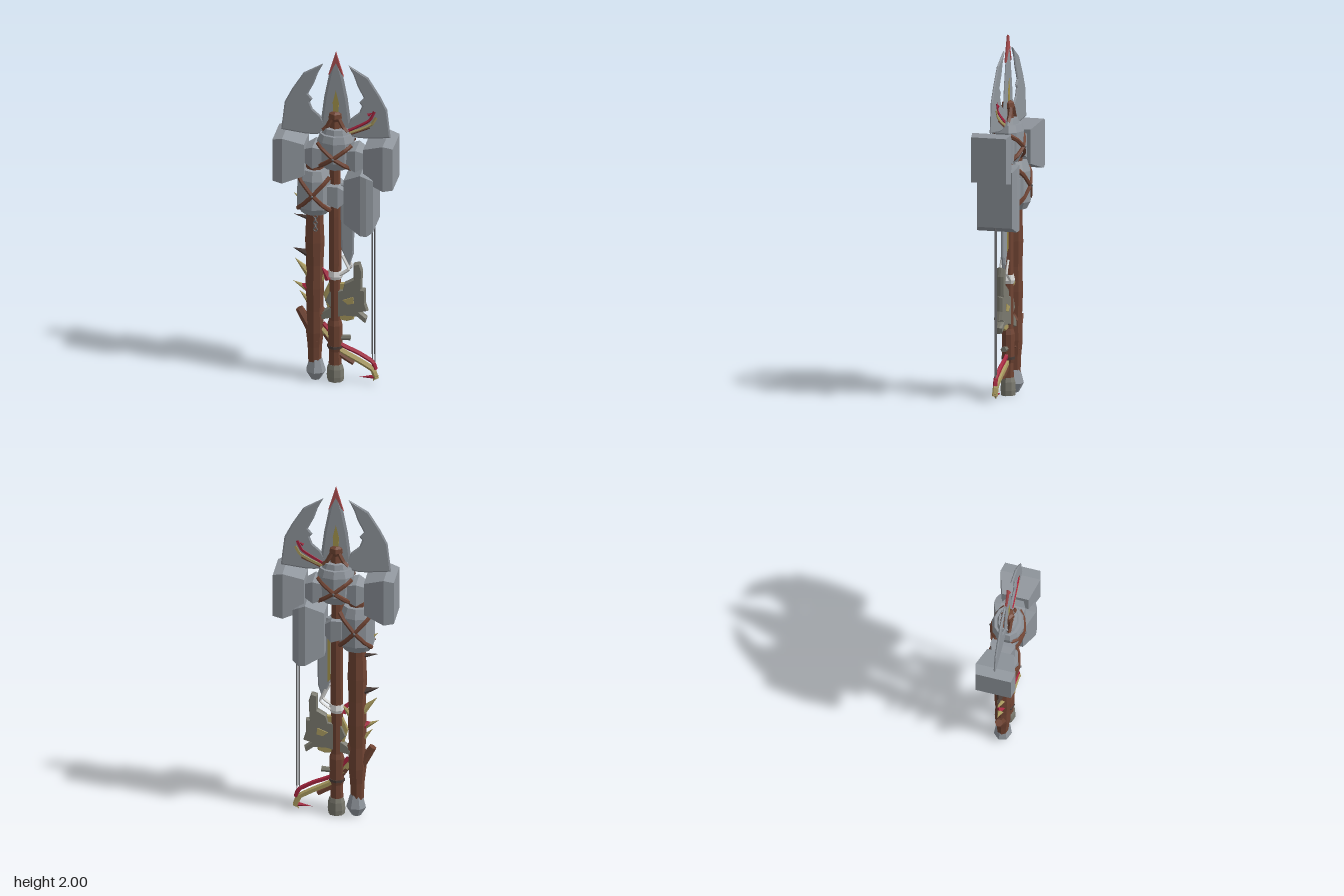
import * as THREE from 'three';
import { ConvexGeometry } from 'three/addons/geometries/ConvexGeometry.js';

const V = (x, y, z = 0) => new THREE.Vector3(x, y, z);
const mat = (name, color) => new THREE.MeshStandardMaterial({ name, color, flatShading: true, side: THREE.DoubleSide });

export function createModel() {
  const root = new THREE.Group();
  const steel = mat('steel', 0x90969d), brown = mat('brown wood', 0x704433), olive = mat('olive metal', 0x7a796e),
    tan = mat('tan bone', 0xab9c60), red = mat('red', 0xa8253f), tipRed = mat('tip red', 0xb05052),
    white = mat('white cloth', 0xd6d6d4), dark = mat('dark horn', 0x4a3c37), gold = mat('gold', 0xa3934c),
    cord = mat('cord grey', 0x666668);

  const add = (name, geo, m) => {
    const mesh = new THREE.Mesh(geo, m);
    mesh.name = name;
    root.add(mesh);
    return mesh;
  };
  // Flat plate from an outline, bevelled inward to a thin edge
  const plate = (name, pts, t, bevel, m, z = 0) => {
    const shape = new THREE.Shape(pts.map(p => new THREE.Vector2(p[0], p[1])));
    const depth = t * 0.3, bt = t * 0.35;
    const g = new THREE.ExtrudeGeometry(shape, {
      depth, bevelEnabled: true, bevelThickness: bt, bevelSize: bevel, bevelOffset: -bevel, bevelSegments: 1, steps: 1,
    });
    g.translate(0, 0, z - depth / 2);
    return add(name, g, m);
  };
  // Convex block from rectangular sections along x: [x, yLow, yHigh, halfDepth]
  const head = (name, secs, m) => add(name, new ConvexGeometry(
    secs.flatMap(([x, a, b, d]) => [V(x, a, d), V(x, a, -d), V(x, b, d), V(x, b, -d)])), m);
  // Faceted stone-like block from scaled ten-sided rings: [y, scale]
  const block = (name, cx, hx, hz, rings, m) => {
    const plan = [[0, 1], [0.65, 0.8], [1, 0.4], [1, -0.4], [0.65, -0.8], [0, -1], [-0.65, -0.8], [-1, -0.4], [-1, 0.4], [-0.65, 0.8]];
    return add(name, new ConvexGeometry(rings.flatMap(([y, s]) => plan.map(p => V(cx + p[0] * hx * s, y, p[1] * hz * s)))), m);
  };
  // Turned shaft: profile [radius, y]
  const shaft = (name, cx, profile, m, sides = 8) => {
    const pts = profile.map(p => new THREE.Vector2(p[0], p[1]));
    pts.unshift(new THREE.Vector2(0, profile[0][1]));
    pts.push(new THREE.Vector2(0, profile.at(-1)[1]));
    const mesh = add(name, new THREE.LatheGeometry(pts, sides), m);
    mesh.position.x = cx;
    mesh.scale.z = 0.9;
    return mesh;
  };
  const tube = (name, pts, r, m, sides = 5) => add(name,
    new THREE.TubeGeometry(new THREE.CatmullRomCurve3(pts.map(p => V(...p)), false, 'catmullrom', 0.2), pts.length * 4, r, sides), m);
  // Tapered cone from base to point
  const spike = (name, a, b, r, m, r2 = 0) => {
    const from = V(...a), to = V(...b), dir = to.clone().sub(from);
    const mesh = add(name, new THREE.CylinderGeometry(r2, r, dir.length(), 6), m);
    mesh.position.copy(from).lerp(to, 0.5);
    mesh.quaternion.setFromUnitVectors(V(0, 1), dir.normalize());
    return mesh;
  };

  // Spear blade, red tip and gold inlay
  plate('spearBlade', [[0, 1.97], [-0.04, 1.85], [-0.065, 1.72], [-0.085, 1.56], [-0.05, 1.48],
    [0.05, 1.48], [0.085, 1.56], [0.065, 1.72], [0.04, 1.85]], 0.012, 0.014, steel);
  plate('spearTip', [[0, 2], [-0.044, 1.85], [-0.03, 1.865], [0, 1.925], [0.03, 1.865], [0.044, 1.85]], 0.014, 0.004, tipRed);
  plate('bladeInlay', [[0, 1.765], [-0.018, 1.69], [-0.016, 1.62], [0.016, 1.62], [0.018, 1.69]], 0.014, 0.001, gold);

  for (const s of [-1, 1]) {
    // Crescent blades on both sides
    plate('crescentBlade', [[0.07, 1.92], [0.18, 1.855], [0.245, 1.75], [0.285, 1.67], [0.305, 1.5], [0.17, 1.485], [0.12, 1.485],
      [0.05, 1.5], [0.05, 1.54], [0.085, 1.6], [0.13, 1.64], [0.145, 1.68], [0.13, 1.7], [0.155, 1.73], [0.12, 1.8], [0.1, 1.86]]
      .map(([x, y]) => [x * s, y]), 0.012, 0.008, steel);
    // Hammer heads and the collars carrying them
    head('hammerHead', [[s * 0.335, 1.23, 1.48, 0.1], [s * 0.28, 1.222, 1.495, 0.112], [s * 0.165, 1.26, 1.45, 0.075]], steel);
    head('hammerCollar', [[s * 0.06, 1.33, 1.42, 0.06], [s * 0.12, 1.305, 1.435, 0.068], [s * 0.17, 1.33, 1.41, 0.045]], steel);
  }

  // Central and lower-left faceted heads, lower-right maul
  block('upperBlock', 0, 0.098, 0.09, [[1.3, 0.65], [1.35, 0.95], [1.47, 1], [1.51, 0.86]], steel);
  block('upperBlockCap', 0, 0.082, 0.065, [[1.49, 1], [1.54, 0.8]], steel);
  block('lowerBlock', -0.118, 0.093, 0.09, [[1.02, 0.75], [1.06, 1], [1.23, 0.97], [1.285, 0.75]], steel);
  head('lowerBlockCollar', [[-0.04, 1.09, 1.2, 0.06], [0.02, 1.07, 1.2, 0.06], [0.055, 1.1, 1.17, 0.04]], steel);
  head('maulHead', [[0.055, 0.99, 1.25, 0.07], [0.155, 0.945, 1.31, 0.118], [0.19, 0.94, 1.295, 0.115], [0.225, 0.965, 1.275, 0.1]], steel);

  // Crossed straps over both faceted heads, front and back
  for (const [cx, cy, hx, hy] of [[0, 1.385, 0.093, 0.07], [-0.115, 1.15, 0.088, 0.1]])
    for (const z of [-1, 1]) {
      for (const s of [-1, 1])
        tube('crossStrap', [[cx - hx, cy - s * hy, z * 0.042], [cx - hx * 0.65, cy - s * hy * 0.65, z * 0.07], [cx, cy, z * 0.087],
          [cx + hx * 0.65, cy + s * hy * 0.65, z * 0.07], [cx + hx, cy + s * hy, z * 0.042]], 0.013, brown, 6);
      const stud = add('strapStud', new THREE.IcosahedronGeometry(0.008), cord);
      stud.position.set(cx, cy, z * 0.099);
    }

  // Shafts with end caps
  shaft('leftShaft', -0.118, [[0.036, 0.1], [0.04, 0.2], [0.05, 0.29], [0.046, 0.42], [0.052, 0.56], [0.048, 0.7],
    [0.054, 0.84], [0.048, 0.98], [0.05, 1.3], [0.045, 1.34]], brown);
  shaft('leftShaftCap', -0.113, [[0.026, 0], [0.056, 0.05], [0.035, 0.125]], steel, 7);
  shaft('centreShaft', -0.005, [[0.036, 0.08], [0.034, 0.18], [0.04, 0.2], [0.042, 0.34], [0.033, 0.37], [0.033, 0.6], [0.035, 0.72],
    [0.034, 1], [0.03, 1.3], [0.03, 1.5]], brown);
  shaft('centreShaftCap', -0.003, [[0.045, 0], [0.049, 0.03], [0.046, 0.075], [0.038, 0.1]], olive);
  shaft('centreShaftBand', -0.005, [[0.044, 0.2], [0.044, 0.215]], dark);

  // Brown socket of the spear
  shaft('spearSocket', -0.002, [[0.038, 1.53], [0.03, 1.58], [0.042, 1.6], [0.038, 1.625], [0.02, 1.635]], brown, 6);
  for (const s of [-1, 1]) for (const z of [-0.022, 0.022])
    tube('socketStrap', [[s * 0.02, 1.6, z], [s * 0.045, 1.55, z], [s * 0.068, 1.525, z]], 0.012, brown, 4);

  // Long blade beside the shaft, gold strip on its back
  plate('longBlade', [[0.02, 1.2], [0.105, 1.2], [0.1, 0.78], [0.075, 0.7], [0.03, 0.8]], 0.018, 0.008, steel);
  plate('longBladeStrip', [[0.028, 1.08], [0.046, 1.08], [0.046, 0.8], [0.028, 0.82]], 0.006, 0.001, gold, -0.009);

  // Jagged olive axe plate with tan backing and inset patches
  plate('jaggedPlate', [[0.1, 0.72], [0.135, 0.73], [0.15, 0.68], [0.145, 0.57], [0.165, 0.57], [0.165, 0.49], [0.18, 0.44], [0.135, 0.43],
    [0.175, 0.4], [0.165, 0.365], [0.12, 0.4], [0.05, 0.4], [-0.08, 0.365], [-0.085, 0.41], [-0.03, 0.45], [-0.06, 0.48],
    [-0.03, 0.55], [0.04, 0.56], [0.05, 0.6], [0.1, 0.63]], 0.045, 0.006, olive);
  plate('tanBacking', [[-0.07, 0.52], [-0.04, 0.59], [0.06, 0.6], [0.12, 0.54], [0.1, 0.38], [0.06, 0.365], [-0.03, 0.38]], 0.02, 0.006, tan);
  for (const z of [-0.024, 0.024])
    plate('tanPatch', [[0.04, 0.5], [0.1, 0.525], [0.105, 0.485], [0.07, 0.475]], 0.006, 0.001, tan, z);

  // White wrap and trailing ribbon
  shaft('whiteWrap', -0.005, [[0.036, 0.62], [0.044, 0.64], [0.036, 0.67]], white);
  tube('whiteRibbon', [[0.025, 0.65, 0.02], [0.075, 0.69, 0.02], [0.04, 0.77, 0.02]], 0.009, white, 4);
  tube('whiteRibbon', [[0.025, 0.64, -0.02], [0.085, 0.69, -0.02], [0.055, 0.76, -0.02]], 0.007, white, 4);

  // Horns, thorns and broken branches on the left shaft
  for (const [name, a, b, r, m] of [
    ['darkHorn', [-0.13, 0.75, 0], [-0.24, 0.785, 0], 0.028, dark], ['darkHorn', [-0.08, 0.755, 0], [-0.18, 0.745, 0], 0.024, dark],
    ['tanThorn', [-0.14, 0.63, 0], [-0.23, 0.725, 0], 0.028, tan], ['tanThorn', [-0.16, 1.06, 0], [-0.235, 1.12, 0], 0.022, tan],
    ['tanThorn', [-0.13, 0.53, 0], [-0.24, 0.585, 0], 0.026, tan], ['tanThorn', [-0.13, 0.45, 0], [-0.205, 0.53, 0], 0.024, tan],
    ['darkThorn', [-0.12, 0.97, 0], [-0.235, 0.99, 0], 0.02, dark], ['tanThorn', [-0.09, 0.6, 0], [-0.02, 0.68, 0], 0.022, tan],
    ['redThorn', [-0.035, 0.62, 0.01], [-0.08, 0.69, 0.01], 0.026, red], ['redThorn', [-0.14, 0.545, 0], [-0.21, 0.57, 0], 0.032, red],
  ]) spike(name, a, b, r, m);
  spike('brokenBranch', [-0.1, 0.24, 0], [-0.205, 0.42, 0], 0.035, brown, 0.022);
  spike('brokenBranch', [-0.08, 0.4, 0], [-0.15, 0.53, 0], 0.03, brown, 0.015);
  spike('sidePeg', [0, 0.26, 0], [0.08, 0.265, 0], 0.013, olive, 0.016);

  // Bow limbs: red and tan layers over brown, above and below
  tube('lowerLimbTan', [[-0.08, 0.31], [0.02, 0.19], [0.13, 0.13], [0.205, 0.085], [0.225, 0.03]], 0.017, tan);
  tube('lowerLimbRed', [[-0.07, 0.34], [0.03, 0.22], [0.12, 0.18], [0.205, 0.13], [0.222, 0.085]], 0.013, red);
  tube('lowerLimbBrown', [[-0.06, 0.28], [0.02, 0.165], [0.1, 0.115]], 0.017, brown);
  spike('lowerLimbTip', [0.22, 0.04, 0], [0.13, 0.03, 0], 0.013, red);
  spike('lowerLimbHook', [0.225, 0.05, 0], [0.205, 0.01, 0], 0.016, tan);
  tube('upperLimbTan', [[0.06, 1.505], [0.14, 1.54], [0.2, 1.575], [0.225, 1.62]], 0.012, tan);
  tube('upperLimbRed', [[0.06, 1.52], [0.13, 1.56], [0.19, 1.6], [0.215, 1.655]], 0.012, red);
  tube('upperLimbBrown', [[0.05, 1.49], [0.13, 1.527], [0.19, 1.555]], 0.01, brown);
  spike('upperLimbTip', [0.18, 1.63, 0], [0.228, 1.665, 0], 0.012, red);

  // Bowstrings and a short hanging chain
  for (const x of [0.203, 0.217]) tube('bowstring', [[x, 0.07, 0], [x, 0.97, 0]], 0.004, cord, 4);
  for (let i = 0; i < 5; i++) {
    const link = add('chainLink', new THREE.TorusGeometry(0.011, 0.004, 4, 6), cord);
    link.position.set(-0.105, 1.01 - i * 0.02, 0.05);
    link.rotation.y = i % 2 ? Math.PI / 2 : 0;
  }
  return root;
}
